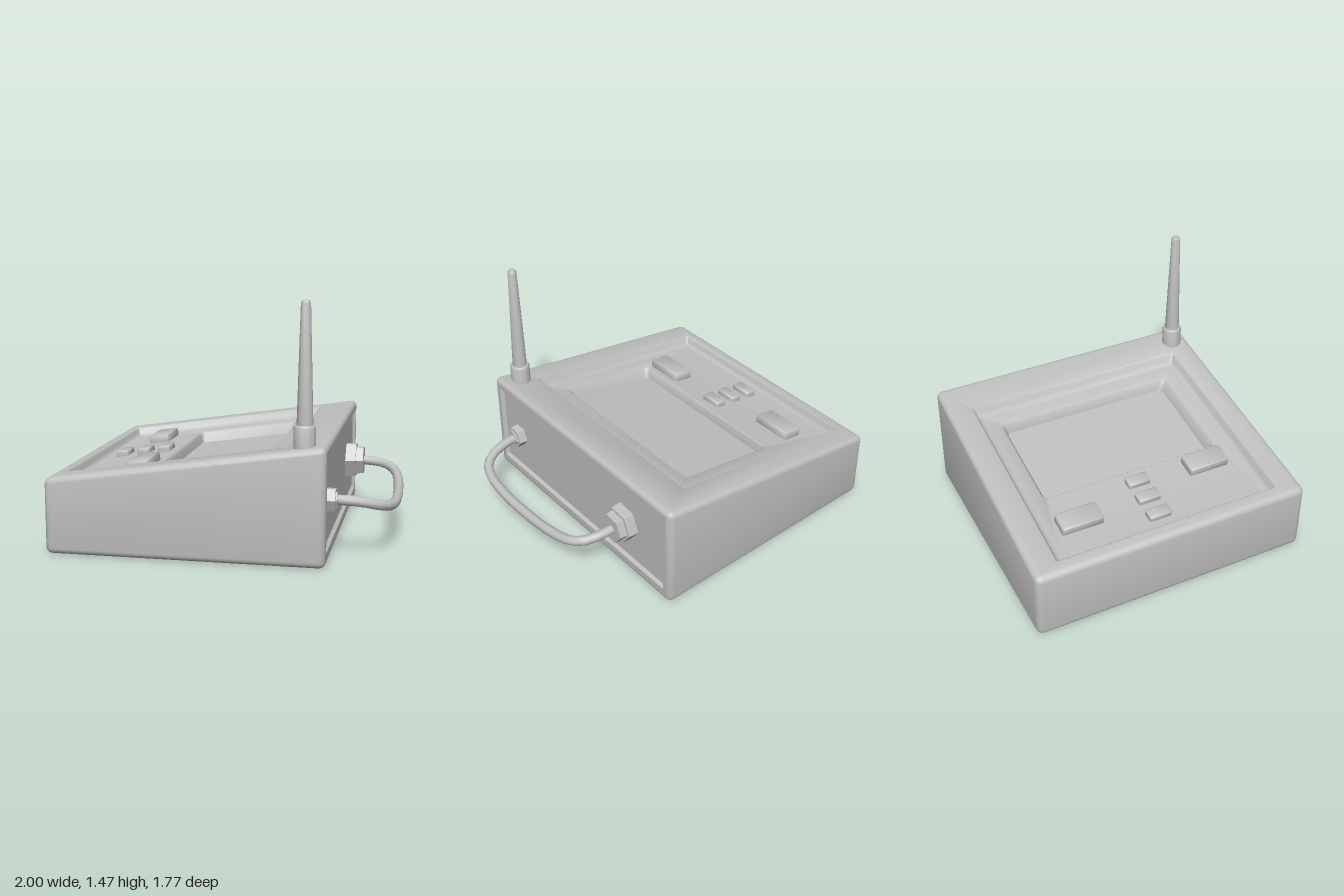
import * as THREE from 'three';
import { toCreasedNormals } from 'three/addons/utils/BufferGeometryUtils.js';
import { RoundedBoxGeometry } from 'three/addons/geometries/RoundedBoxGeometry.js';

const SLOPE = 0.148;
const topY = (x) => 0.59 + SLOPE * x; // height of the sloped top face
const X0 = -1, X1 = 0.62, Z = 0.885, BEVEL = 0.035;

// Rounded rectangle ring seen from above; yAt gives the height at each x
function ring(x0, x1, z0, z1, r, yAt, steps = 4) {
  const pts = [];
  const centres = [[x1 - r, z0 + r], [x0 + r, z0 + r], [x0 + r, z1 - r], [x1 - r, z1 - r]];
  centres.forEach(([cx, cz], c) => {
    for (let i = 0; i <= steps; i++) {
      const a = (c + i / steps) * Math.PI / 2;
      const x = cx + r * Math.cos(a);
      pts.push(new THREE.Vector3(x, yAt(x), cz - r * Math.sin(a)));
    }
  });
  return pts;
}

// Skin between rings, with optional end caps and skipped faces
function loft(rings, { capStart = false, capEnd = false, skip = () => false } = {}) {
  const pos = [];
  const tri = (...p) => p.forEach((v) => pos.push(v.x, v.y, v.z));
  const n = rings[0].length;
  for (let k = 0; k + 1 < rings.length; k++) {
    for (let i = 0; i < n; i++) {
      if (skip(k, i)) continue;
      const j = (i + 1) % n, a = rings[k], b = rings[k + 1];
      tri(a[i], a[j], b[j]);
      tri(a[i], b[j], b[i]);
    }
  }
  const cap = (r, flip) => {
    const c = r.reduce((s, p) => s.add(p), new THREE.Vector3()).divideScalar(n);
    for (let i = 0; i < n; i++) {
      const j = (i + 1) % n;
      if (flip) tri(c, r[j], r[i]); else tri(c, r[i], r[j]);
    }
  };
  if (capStart) cap(rings[0], true);
  if (capEnd) cap(rings[rings.length - 1], false);
  const g = new THREE.BufferGeometry();
  g.setAttribute('position', new THREE.Float32BufferAttribute(pos, 3));
  return g;
}

export function createModel() {
  const model = new THREE.Group();
  model.name = 'controlBox';
  const grey = new THREE.MeshStandardMaterial({ color: 0xc0c0c0 });
  grey.name = 'plain grey';

  const add = (name, geometry, crease = 0.6, parent = model) => {
    const mesh = new THREE.Mesh(toCreasedNormals(geometry, crease), grey);
    mesh.name = name;
    parent.add(mesh);
    return mesh;
  };

  // Wedge housing: bevelled bottom, walls, bevelled top, recessed deck, deep screen well
  const rings = [];
  const outer = (inset, yAt) =>
    rings.push(ring(X0 + inset, X1 - inset, -Z + inset, Z - inset, BEVEL + 0.005 - inset, yAt));
  const STEPS = 4;
  for (let i = 0; i <= STEPS; i++) {
    const a = (i / STEPS) * Math.PI / 2;
    outer(BEVEL * (1 - Math.sin(a)), () => BEVEL * (1 - Math.cos(a)));
  }
  const wall = rings.length - 1;
  for (let i = 0; i <= STEPS; i++) {
    const a = (i / STEPS) * Math.PI / 2;
    outer(BEVEL * (1 - Math.cos(a)), (x) => topY(x) - BEVEL * (1 - Math.sin(a)));
  }
  const inner = (x0, x1, z, r, depth) =>
    rings.push(ring(x0, x1, -z, z, r, (x) => topY(x) - depth));
  inner(-0.915, 0.385, 0.725, 0.012, 0);
  inner(-0.908, 0.378, 0.718, 0.012, 0.007);
  inner(-0.9, 0.37, 0.71, 0.012, 0.04);
  inner(-0.885, 0.355, 0.695, 0.012, 0.055);
  inner(-0.86, 0.33, 0.67, 0.012, 0.06);
  inner(-0.42, 0.25, 0.592, 0.035, 0.06);
  inner(-0.41, 0.24, 0.58, 0.03, 0.07);
  inner(-0.4, 0.23, 0.555, 0.025, 0.13);
  // The flat part of the right-hand wall is left open for the side panel
  const last = rings[0].length - 1;
  add('housing', loft(rings, { capStart: true, capEnd: true, skip: (k, i) => k === wall && i === last }), 0.7);

  // Side panel: frame, groove edge and sunken plate
  const sideRing = (x, z, y0, y1) =>
    [[z, y0], [-z, y0], [-z, y1], [z, y1]].map(([pz, py]) => new THREE.Vector3(x, py, pz));
  add('sidePanel', loft([
    sideRing(X1, Z - BEVEL - 0.005, BEVEL, topY(X1) - BEVEL),
    sideRing(X1, 0.824, 0.078, 0.62),
    sideRing(X1 - 0.02, 0.806, 0.092, 0.606),
  ], { capEnd: true }), 0.4);

  // Buttons lying on the sloped deck: x, z, width, length, height
  const buttons = new THREE.Group();
  buttons.name = 'buttons';
  model.add(buttons);
  const button = (name, x, z, w, l, h) => {
    const m = add(name, new RoundedBoxGeometry(w, h + 0.02, l, 2, 0.01), 0.9, buttons);
    m.position.set(x, topY(x) - 0.06 + h / 2 - 0.01, z);
    m.rotation.z = Math.atan(SLOPE);
  };
  button('rearButton', -0.65, -0.463, 0.135, 0.265, 0.05);
  button('frontButton', -0.527, 0.452, 0.135, 0.265, 0.05);
  [-0.782, -0.645, -0.51].forEach((x) => button('smallButton', x, -0.008, 0.075, 0.145, 0.035));

  // Antenna with its socket
  const antenna = new THREE.Group();
  antenna.name = 'antenna';
  antenna.position.set(0.488, 0, 0.77);
  model.add(antenna);
  const lathe = (pts, sides) =>
    new THREE.LatheGeometry(pts.map(([r, y]) => new THREE.Vector2(r, y)), sides);
  add('antennaSocket', lathe([[0.062, 0.6], [0.062, 0.775], [0.055, 0.785], [0, 0.785]], 12), 0.7, antenna);
  add('antennaRod', lathe([[0.047, 0.78], [0.028, 1.455], [0.02, 1.468], [0, 1.47]], 10), 0.7, antenna);

  // Hexagonal cable nuts: x start, x end, radius
  const nut = (name, x0, x1, r, y, z) => {
    const g = new THREE.CylinderGeometry(r - 0.004, r, x1 - x0, 6);
    g.rotateZ(-Math.PI / 2).rotateX(-0.12);
    add(name, g, 0.3).position.set((x0 + x1) / 2, y, z);
  };
  nut('rearNutFlange', 0.595, 0.665, 0.122, 0.345, -0.455);
  nut('rearNut', 0.66, 0.712, 0.1, 0.345, -0.455);
  nut('frontNutFlange', 0.595, 0.652, 0.075, 0.34, 0.645);
  nut('frontNut', 0.65, 0.662, 0.052, 0.34, 0.645);

  // Drooping cable between the nuts
  const path = [
    [0.64, 0.34, 0.642], [0.72, 0.338, 0.635], [0.82, 0.325, 0.615], [0.905, 0.3, 0.565],
    [0.95, 0.28, 0.46], [0.968, 0.264, 0.25], [0.965, 0.262, 0.02], [0.952, 0.276, -0.2],
    [0.928, 0.3, -0.34], [0.885, 0.322, -0.415], [0.815, 0.338, -0.45], [0.69, 0.345, -0.462],
  ].map((p) => new THREE.Vector3(...p));
  add('cable', new THREE.TubeGeometry(new THREE.CatmullRomCurve3(path), 24, 0.03, 10), 1);

  return model;
}
